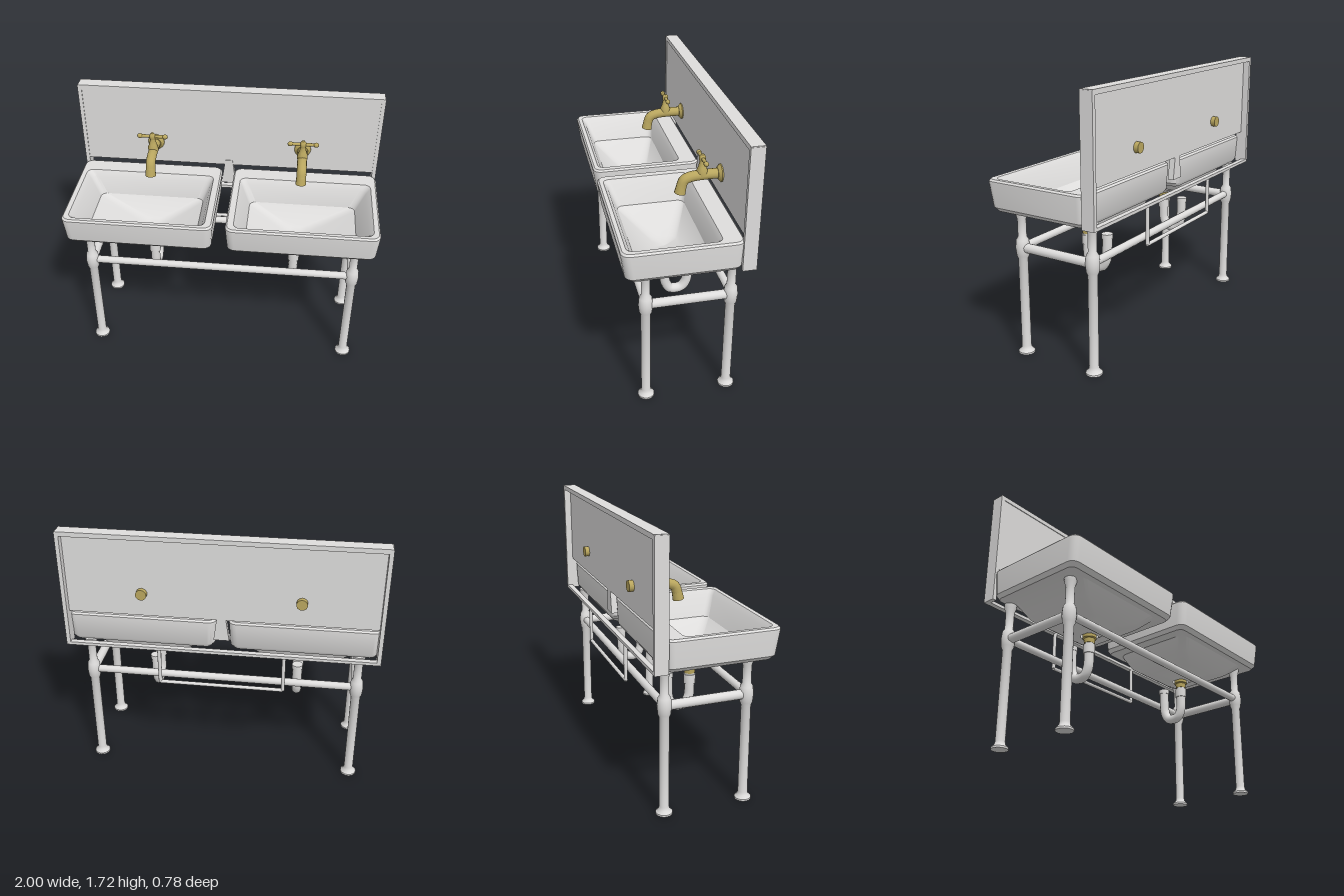
import * as THREE from 'three';
import { toCreasedNormals } from 'three/addons/utils/BufferGeometryUtils.js';

const ceramic = new THREE.MeshStandardMaterial({ color: 0xdedddc, side: THREE.DoubleSide });
ceramic.name = 'white ceramic';
const brass = new THREE.MeshStandardMaterial({ color: 0xbaa75f });
brass.name = 'brass';

const V = (x, y, z) => new THREE.Vector3(x, y, z);

function add(parent, name, geometry, material, x = 0, y = 0, z = 0) {
  const mesh = new THREE.Mesh(geometry, material);
  mesh.name = name;
  mesh.position.set(x, y, z);
  parent.add(mesh);
  return mesh;
}

// Straight round bar between two points
function bar(parent, name, a, b, radius, material, endRadius = radius) {
  const dir = b.clone().sub(a);
  const mesh = add(parent, name, new THREE.CylinderGeometry(endRadius, radius, dir.length(), 14), material);
  mesh.position.copy(a).addScaledVector(dir, 0.5);
  mesh.quaternion.setFromUnitVectors(V(0, 1, 0), dir.normalize());
  return mesh;
}

function box(parent, name, x0, x1, y0, y1, z0, z1) {
  add(parent, name, new THREE.BoxGeometry(x1 - x0, y1 - y0, z1 - z0), ceramic,
    (x0 + x1) / 2, (y0 + y1) / 2, (z0 + z1) / 2);
}

function lathe(parent, name, profile, material, x, y, z, sides = 16) {
  return add(parent, name, toCreasedNormals(
    new THREE.LatheGeometry(profile.map(([r, h]) => new THREE.Vector2(r, h)), sides), 0.7), material, x, y, z);
}

// Skin a stack of rounded rectangles [x0, x1, z0, z1, cornerRadius, y]
function loft(sections) {
  const pos = [], index = [], steps = 5, n = steps * 4;
  for (const [x0, x1, z0, z1, r, y] of sections) {
    const corners = [[x1 - r, z1 - r], [x0 + r, z1 - r], [x0 + r, z0 + r], [x1 - r, z0 + r]];
    corners.forEach(([cx, cz], k) => {
      for (let i = 0; i < steps; i++) {
        const t = (k + i / (steps - 1)) * Math.PI / 2;
        pos.push(cx + r * Math.cos(t), y, cz + r * Math.sin(t));
      }
    });
  }
  for (let i = 0; i < sections.length - 1; i++) {
    for (let j = 0; j < n; j++) {
      const a = i * n + j, b = i * n + (j + 1) % n, c = a + n, d = b + n;
      index.push(a, c, d, a, d, b);
    }
  }
  const g = new THREE.BufferGeometry();
  g.setAttribute('position', new THREE.Float32BufferAttribute(pos, 3));
  g.setIndex(index);
  return toCreasedNormals(g, 0.6);
}

function makeBasin(s) {
  const basin = new THREE.Group();
  basin.name = s > 0 ? 'leftBasin' : 'rightBasin';
  // Underside bulb, outer wall, rim, then the bowl down to the drain
  const profile = [
    [0.43, 0.53, -0.02, 0.08, 0.04, 0.77],
    [0.40, 0.57, -0.06, 0.11, 0.06, 0.79],
    [0.34, 0.66, -0.17, 0.18, 0.07, 0.825],
    [0.21, 0.79, -0.24, 0.25, 0.07, 0.87],
    [0.14, 0.88, -0.26, 0.31, 0.07, 0.935],
    [0.07, 0.97, -0.30, 0.345, 0.04, 0.94],
    [0.05, 0.99, -0.315, 0.37, 0.05, 0.965],
    [0.04, 1.00, -0.32, 0.39, 0.05, 1.11],
    [0.04, 1.00, -0.32, 0.39, 0.05, 1.125],
    [0.05, 0.99, -0.31, 0.38, 0.045, 1.137],
    [0.09, 0.96, -0.20, 0.355, 0.04, 1.135],
    [0.11, 0.93, -0.18, 0.33, 0.04, 1.10],
    [0.16, 0.87, -0.16, 0.28, 0.04, 0.97],
    [0.40, 0.57, -0.05, 0.11, 0.05, 0.86],
    [0.479, 0.481, 0.029, 0.031, 0.0005, 0.84],
  ];
  const sections = profile.map(([a, b, ...rest]) => (s > 0 ? [a, b, ...rest] : [-b, -a, ...rest]));
  add(basin, 'basinShell', loft(sections), ceramic);

  // Drain collar and U-shaped trap
  const x = s * 0.48;
  lathe(basin, 'drainCollar', [[0, 0], [0.034, 0], [0.036, 0.03], [0.045, 0.035], [0.045, 0.07], [0, 0.07]], brass, x, 0.72, 0.03);
  const path = new THREE.CatmullRomCurve3([
    V(x, 0.74, 0.03), V(x, 0.64, 0.03), V(x, 0.56, 0.025), V(x, 0.515, 0), V(x, 0.505, -0.04),
    V(x, 0.515, -0.08), V(x, 0.56, -0.11), V(x, 0.64, -0.118), V(x, 0.73, -0.12)]);
  add(basin, 'trapPipe', new THREE.TubeGeometry(path, 36, 0.032, 12), ceramic);
  lathe(basin, 'trapNut', [[0, 0], [0.038, 0], [0.038, 0.06], [0, 0.06]], ceramic, x, 0.65, 0.03);
  lathe(basin, 'trapEnd', [[0, 0], [0.036, 0], [0.036, 0.03], [0, 0.03]], ceramic, x, 0.71, -0.12);
  return basin;
}

function makeTap(s) {
  const tap = new THREE.Group();
  tap.name = s > 0 ? 'leftTap' : 'rightTap';
  tap.position.x = s * 0.495;
  const flange = lathe(tap, 'wallFlange', [[0, 0], [0.055, 0], [0.055, 0.012], [0.036, 0.03], [0, 0.03]], brass, 0, 1.32, -0.315);
  flange.rotation.x = Math.PI / 2;
  bar(tap, 'wallStub', V(0, 1.32, -0.375), V(0, 1.32, -0.3), 0.035, brass);
  const path = new THREE.CatmullRomCurve3([
    V(0, 1.32, -0.31), V(0, 1.32, -0.2), V(0, 1.313, -0.12), V(0, 1.295, -0.08), V(0, 1.255, -0.063)]);
  add(tap, 'spout', new THREE.TubeGeometry(path, 24, 0.032, 12), brass);
  bar(tap, 'spoutTip', V(0, 1.21, -0.055), V(0, 1.265, -0.066), 0.035, brass, 0.031);
  lathe(tap, 'valveStem', [[0.034, 0], [0.034, 0.03], [0.024, 0.055], [0.016, 0.09], [0.02, 0.1], [0.02, 0.12], [0.01, 0.135], [0, 0.135]],
    brass, 0, 1.32, -0.19);
  bar(tap, 'crossHandle', V(-0.09, 1.43, -0.19), V(0.09, 1.43, -0.19), 0.011, brass);
  for (const e of [-1, 1]) {
    const knob = add(tap, 'handleKnob', new THREE.SphereGeometry(0.016, 10, 8), brass, e * 0.083, 1.43, -0.19);
    knob.scale.x = 1.2;
  }
  return tap;
}

export function createModel() {
  const model = new THREE.Group();
  model.name = 'doubleWashstand';

  // Hollow-backed splash panel
  const panel = new THREE.Group();
  panel.name = 'splashPanel';
  model.add(panel);
  box(panel, 'panelFace', -0.98, 0.98, 1.165, 1.705, -0.345, -0.31);
  box(panel, 'topEdge', -0.995, 0.995, 1.69, 1.72, -0.39, -0.305);
  box(panel, 'bottomEdge', -0.995, 0.995, 0.94, 0.96, -0.39, -0.355);
  for (const s of [-1, 1]) {
    const x = s * 0.985;
    box(panel, 'sideEdge', x - 0.013, x + 0.013, 0.94, 1.715, -0.39, -0.305);
  }
  // Flared divider between the basins
  const flare = new THREE.Shape([[-0.025, 1.2], [-0.05, 1.02], [0.05, 1.02], [0.025, 1.2]].map(p => new THREE.Vector2(...p)));
  add(panel, 'centreDivider', new THREE.ExtrudeGeometry(flare, { depth: 0.04, bevelEnabled: false }), ceramic, 0, 0, -0.345);

  // Wall bracket below the panel
  const corners = [V(-0.4, 0.95, -0.365), V(-0.4, 0.69, -0.365), V(0.4, 0.69, -0.365), V(0.4, 0.95, -0.365)];
  for (let i = 0; i < 3; i++) bar(model, 'wallBracket', corners[i], corners[i + 1], 0.012, ceramic);

  for (const s of [-1, 1]) model.add(makeBasin(s), makeTap(s));

  // Tubular stand: legs, then rails
  const zs = [0.235, -0.285], legX = 0.87;
  const legProfile = [[0, 0], [0.052, 0], [0.052, 0.012], [0.034, 0.03], [0.03, 0.05], [0.03, 0.63], [0.039, 0.65], [0.044, 0.7],
    [0.039, 0.75], [0.027, 0.77], [0.027, 0.88], [0.036, 0.91], [0.04, 0.945], [0, 0.945]];
  for (const s of [-1, 1]) {
    for (const z of zs) lathe(model, z > 0 ? 'frontLeg' : 'backLeg', legProfile, ceramic, s * legX, 0, z);
    bar(model, 'sideRail', V(s * legX, 0.7, zs[0]), V(s * legX, 0.7, zs[1]), 0.03, ceramic);
  }
  for (const z of zs) {
    bar(model, z > 0 ? 'frontRail' : 'backRail', V(-legX, 0.703, z), V(legX, 0.703, z), 0.025, ceramic);
  }
  return model;
}
